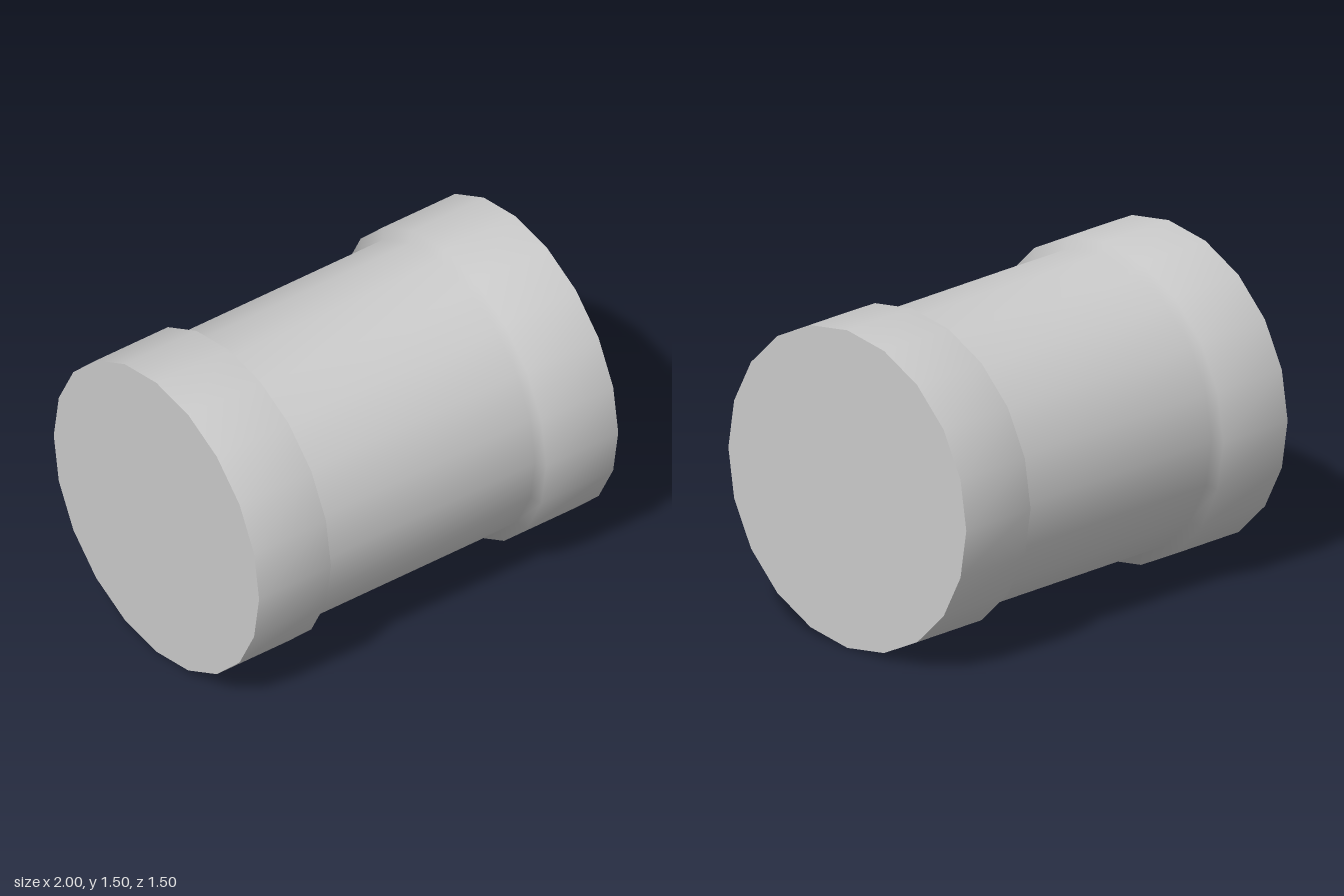
import * as THREE from 'three';
import { mergeVertices } from 'three/addons/utils/BufferGeometryUtils.js';

const SIDES = 20;
const RIM = 0.75;      // radius of the raised end bands
const CORE = 0.70;     // radius of the recessed middle
const HALF = 1;        // half length along x

export function createModel() {
  const group = new THREE.Group();
  group.name = 'drum';
  const material = new THREE.MeshStandardMaterial({ color: 0xcccccc });

  const add = (name, geometry) => {
    const mesh = new THREE.Mesh(geometry, material);
    mesh.name = name;
    mesh.position.y = RIM;
    group.add(mesh);
  };

  // Drum wall: raised bands at both ends, short bevels into the middle
  const profile = [
    [RIM, -HALF], [RIM, -0.6], [CORE, -0.575],
    [CORE, 0.575], [RIM, 0.6], [RIM, HALF],
  ].map(([r, y]) => new THREE.Vector2(r, y));
  let wall = new THREE.LatheGeometry(profile, SIDES);
  wall.rotateZ(-Math.PI / 2);
  // Weld the seam and shade the whole wall smoothly, bevels included
  wall.deleteAttribute('uv');
  wall.deleteAttribute('normal');
  wall = mergeVertices(wall);
  wall.computeVertexNormals();
  add('drumWall', wall);

  // Flat end caps
  for (const [name, side] of [['leftCap', 1], ['rightCap', -1]]) {
    const cap = new THREE.CircleGeometry(RIM, SIDES);
    cap.rotateY(side * Math.PI / 2);
    cap.translate(side * HALF, 0, 0);
    add(name, cap);
  }

  return group;
}
